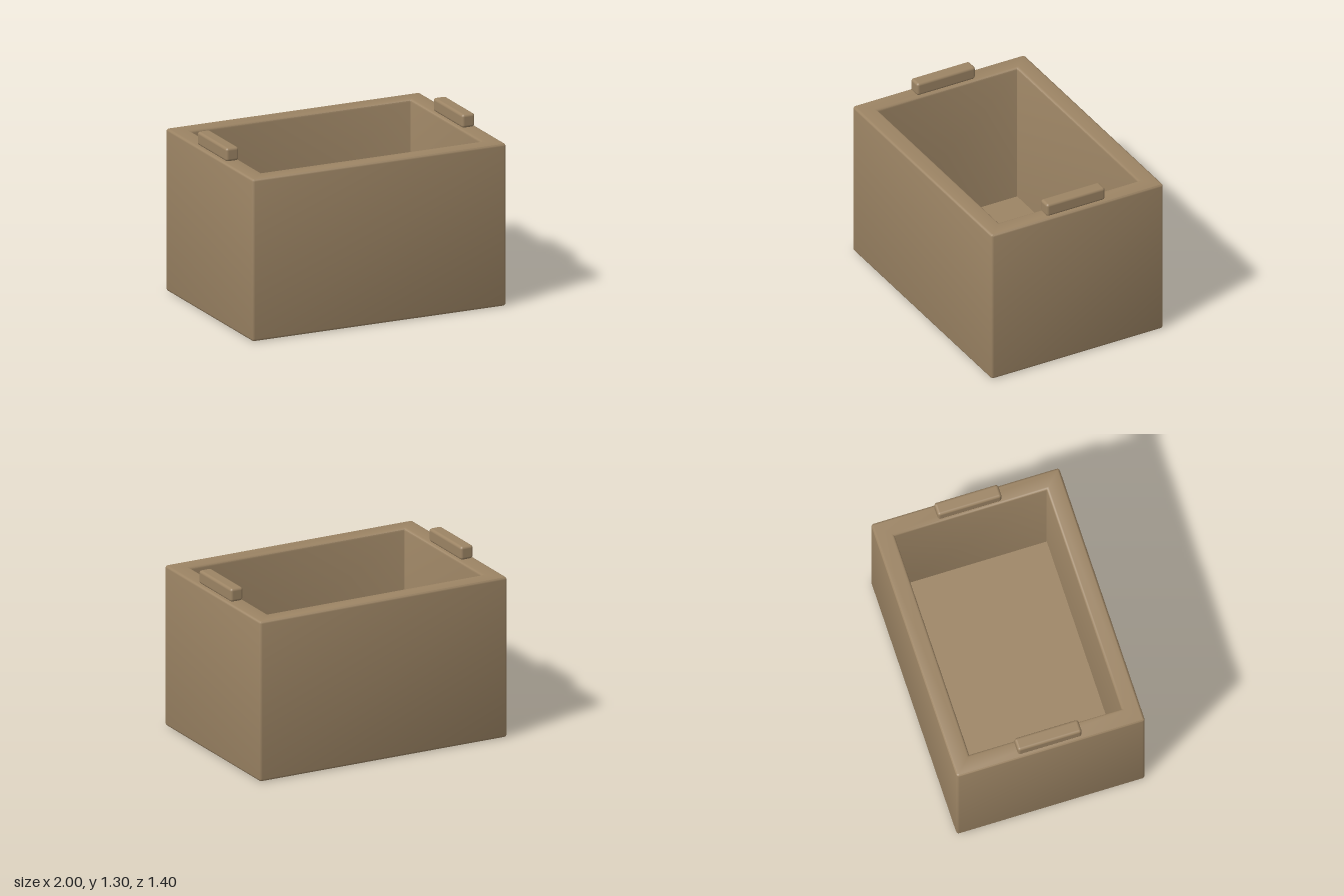
import * as THREE from 'three';
import { toCreasedNormals } from 'three/addons/utils/BufferGeometryUtils.js';
import { RoundedBoxGeometry } from 'three/addons/geometries/RoundedBoxGeometry.js';

const STEPS = 3; // segments in each rounded edge

// Horizontal rectangle of half sizes hx, hz with corners rounded by r
function ring(hx, hz, r, y) {
  const points = [];
  for (let corner = 0; corner < 4; corner++) {
    const sx = corner === 0 || corner === 3 ? 1 : -1;
    const sz = corner < 2 ? 1 : -1;
    for (let i = 0; i <= STEPS; i++) {
      const a = (corner + i / STEPS) * Math.PI / 2;
      points.push([sx * (hx - r) + r * Math.cos(a), y, sz * (hz - r) + r * Math.sin(a)]);
    }
  }
  return points;
}

// Skin through successive rings, with both ends closed
function loft(rings) {
  const n = rings[0].length;
  const last = (rings.length - 1) * n;
  const index = [];
  for (let k = 0; k < rings.length - 1; k++) {
    for (let i = 0; i < n; i++) {
      const a = k * n + i, b = k * n + (i + 1) % n;
      index.push(a, a + n, b, b, a + n, b + n);
    }
  }
  for (let i = 1; i < n - 1; i++) {
    index.push(0, i, i + 1, last, last + i + 1, last + i);
  }
  const geometry = new THREE.BufferGeometry();
  geometry.setAttribute('position', new THREE.Float32BufferAttribute(rings.flat(2), 3));
  geometry.setIndex(index);
  return toCreasedNormals(geometry, 0.6);
}

export function createModel() {
  const model = new THREE.Group();
  model.name = 'storageBin';
  const tan = new THREE.MeshStandardMaterial({ color: 0x9c8464 });
  tan.name = 'tan';

  // Hollow body: outer skin upward, over the rim, then down inside to the floor
  const W = 1, D = 0.7, H = 1.2, R = 0.018;
  const rings = [];
  for (const top of [false, true]) {
    for (let i = 0; i <= STEPS; i++) {
      const a = (i / STEPS) * Math.PI / 2;
      const inset = R * (1 - (top ? Math.cos(a) : Math.sin(a)));
      const y = top ? H - R + R * Math.sin(a) : R - R * Math.cos(a);
      rings.push(ring(W - inset, D - inset, R + 0.002 - inset, y));
    }
  }
  for (let i = 0; i <= STEPS; i++) {
    const a = (i / STEPS) * Math.PI / 2;
    const out = 0.02 * (1 - Math.sin(a));
    rings.push(ring(0.865 + out, 0.565 + out, 0.002, H - 0.02 * (1 - Math.cos(a))));
  }
  rings.push(ring(0.865, 0.565, 0.002, 0.13));
  const body = new THREE.Mesh(loft(rings), tan);
  body.name = 'body';
  model.add(body);

  // Grips resting on the two short rims
  for (const side of [-1, 1]) {
    const grip = new THREE.Mesh(new RoundedBoxGeometry(0.1, 0.1, 0.475, 3, 0.02), tan);
    grip.name = side > 0 ? 'leftGrip' : 'rightGrip';
    grip.position.set(side * 0.93, 1.251, 0);
    model.add(grip);
  }
  return model;
}
